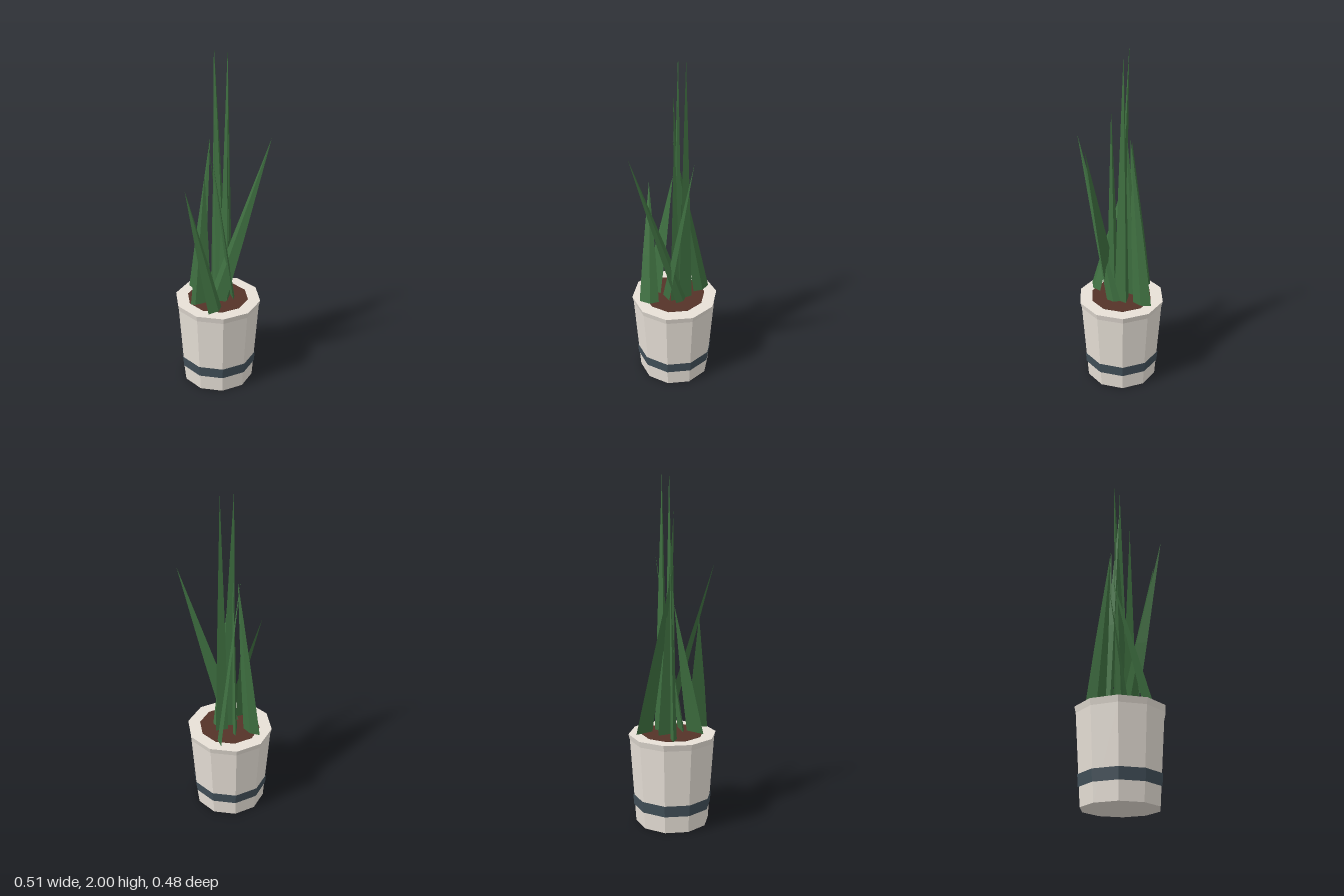
import * as THREE from 'three';

const material = (name, color, extra = {}) => {
  const m = new THREE.MeshStandardMaterial({ color, ...extra });
  m.name = name;
  return m;
};

// Ten-sided faceted ring or drum with a corner on the x axis
function drum(name, rTop, rBottom, y0, y1, mat, open = false) {
  const geo = new THREE.CylinderGeometry(rTop, rBottom, y1 - y0, 10, 1, open).toNonIndexed();
  geo.rotateY(Math.PI / 10);
  geo.translate(0, (y0 + y1) / 2, 0);
  geo.computeVertexNormals();
  const mesh = new THREE.Mesh(geo, mat);
  mesh.name = name;
  return mesh;
}

// Faceted tapering blade: base corners [x, z] in order, one middle section, one tip
function blade(base, tip, baseY) {
  const top = new THREE.Vector3(...tip);
  const area = THREE.ShapeUtils.area(base.map(([x, z]) => new THREE.Vector2(x, z)));
  const corners = area > 0 ? [...base].reverse() : base;
  const low = corners.map(([x, z]) => new THREE.Vector3(x, baseY, z));
  const n = low.length;
  const centre = new THREE.Vector3();
  low.forEach((p) => centre.addScaledVector(p, 1 / n));
  const axis = centre.clone().lerp(top, 0.4);
  const mid = low.map((p) => p.clone().sub(centre).multiplyScalar(0.66).add(axis));
  const points = [];
  for (let i = 0; i < n; i++) {
    const j = (i + 1) % n;
    points.push(centre, low[j], low[i]);
    points.push(low[i], low[j], mid[j], low[i], mid[j], mid[i], mid[i], mid[j], top);
  }
  const geo = new THREE.BufferGeometry().setFromPoints(points);
  geo.computeVertexNormals();
  return geo;
}

export function createModel() {
  const model = new THREE.Group();
  model.name = 'pottedPlant';
  const clay = material('pale clay', 0xe7e0d7);
  const paint = material('slate band', 0x414f58);
  const earth = material('brown soil', 0x553328);
  const green = material('leaf green', 0x3e6f40, { flatShading: true, side: THREE.DoubleSide });

  // Pot with a slightly flared rim and a painted band
  const pot = new THREE.Group();
  pot.name = 'pot';
  pot.add(
    drum('potBody', 0.245, 0.212, 0, 0.49, clay),
    drum('potRim', 0.253, 0.245, 0.49, 0.525, clay),
    drum('potBand', 0.229, 0.224, 0.1, 0.165, paint, true),
    drum('soil', 0.18, 0.18, 0.522, 0.527, earth)
  );
  model.add(pot);

  // Blades: base corners [x, z] and tip [x, y, z]
  const blades = [
    [[[0.02, -0.075], [0.073, -0.066], [0.1, -0.03]], [0.182, 1.485, 0.209]],
    [[[-0.012, 0.064], [0.03, 0.063], [0.085, 0.015]], [0.253, 1.53, -0.15]],
    [[[-0.203, 0.045], [-0.15, 0.018], [-0.09, 0.025], [-0.145, 0.053]], [-0.06, 1.5, 0.0]],
    [[[-0.115, -0.185], [-0.06, -0.16], [-0.033, -0.11]], [-0.06, 1.5, 0.022]],
    [[[0.107, 0.073], [0.135, 0.12], [0.12, 0.185]], [-0.09, 1.22, 0.165]],
    [[[0.023, 0.08], [-0.008, 0.17], [-0.03, 0.185]], [-0.08, 1.28, 0.025]],
    [[[0.01, -0.105], [-0.03, -0.043], [0.055, -0.04]], [0.01, 1.98, -0.06]],
    [[[-0.03, 0.01], [0.0, 0.015], [0.05, -0.01], [0.03, -0.05]], [-0.04, 2.0, -0.01]],
    [[[-0.107, -0.06], [-0.075, -0.05], [-0.04, -0.01], [-0.06, 0.0]], [-0.01, 1.78, 0.01]],
    [[[0.01, 0.01], [0.085, 0.005], [0.055, -0.04]], [0.06, 1.68, -0.01]]
  ];
  const leaves = new THREE.Group();
  leaves.name = 'leaves';
  blades.forEach(([base, tip], i) => {
    const leaf = new THREE.Mesh(blade(base, tip, 0.535), green);
    leaf.name = `leaf${i + 1}`;
    leaves.add(leaf);
  });
  model.add(leaves);
  return model;
}
